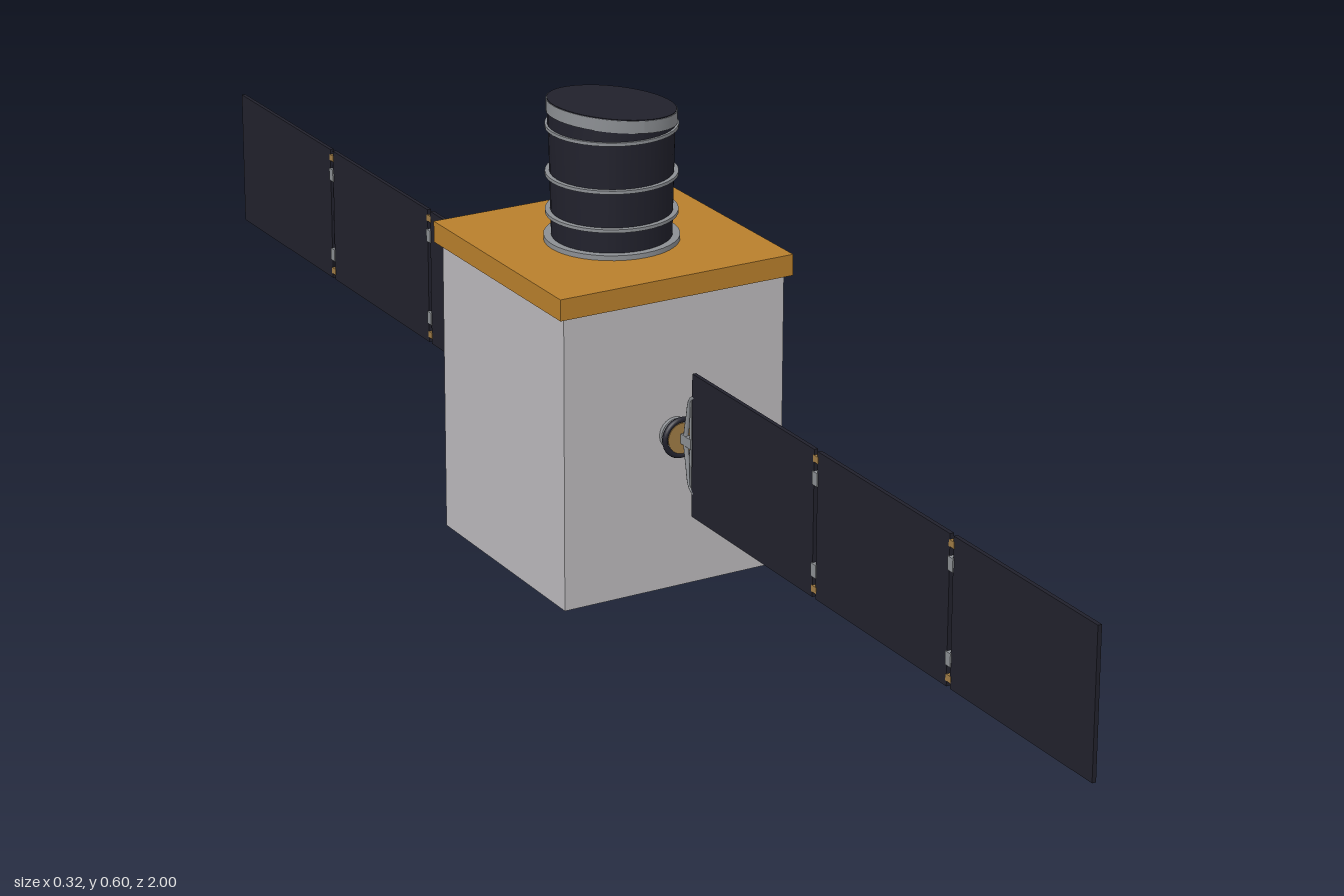
import * as THREE from 'three';

const mat = (name, color, side = THREE.FrontSide) => {
  const m = new THREE.MeshStandardMaterial({ color, side });
  m.name = name;
  return m;
};

export function createModel() {
  const root = new THREE.Group();
  root.name = 'spaceTelescope';
  const white = mat('bodyWhite', 0xbcbabd);
  const gold = mat('foilGold', 0xb87f2c);
  const dark = mat('darkBlue', 0x21212c);
  const metal = mat('metalGrey', 0x8c8f93);
  const beige = mat('antennaBeige', 0xbfb08c);
  const brass = mat('driveBrass', 0xa07c45);
  const light = mat('lightGrey', 0xc9c9cc);
  const black = mat('nozzleBlack', 0x17171b, THREE.DoubleSide);
  const CX = -0.009; // axis of the spacecraft

  const add = (parent, name, geo, material, x = 0, y = 0, z = 0) => {
    const m = new THREE.Mesh(geo, material);
    m.name = name;
    m.position.set(x, y, z);
    parent.add(m);
    return m;
  };
  const box = (w, h, d) => new THREE.BoxGeometry(w, h, d);
  const cyl = (rt, rb, h, open = false) => new THREE.CylinderGeometry(rt, rb, h, 40, 1, open);

  // Main body and foil lid
  add(root, 'body', box(0.292, 0.362, 0.294), white, CX, 0.221, 0);
  add(root, 'lid', box(0.308, 0.026, 0.308), gold, CX, 0.415, 0);

  // Telescope barrel with stiffening rings
  const scope = new THREE.Group();
  scope.name = 'telescope';
  scope.position.x = CX;
  root.add(scope);
  add(scope, 'baseFlange', cyl(0.08, 0.08, 0.006), metal, 0, 0.431, 0);
  add(scope, 'barrel', cyl(0.074, 0.071, 0.138), dark, 0, 0.502, 0);
  for (const y of [0.463, 0.51, 0.568]) add(scope, 'barrelRing', cyl(0.078, 0.078, 0.004), metal, 0, y, 0);

  // Slanted aperture: cylinders sheared so their ends slope down towards +x
  const slanted = (r, yBottom, yTop, slopeBottom, slopeTop) => {
    const g = cyl(r, r, 1);
    const p = g.attributes.position;
    for (let i = 0; i < p.count; i++) {
      const x = p.getX(i);
      p.setY(i, p.getY(i) > 0 ? yTop - slopeTop * x : yBottom - slopeBottom * x);
    }
    g.computeVertexNormals();
    return g;
  };
  add(scope, 'neck', slanted(0.075, 0.566, 0.579, 0, 0.11), dark);
  add(scope, 'apertureBand', slanted(0.0765, 0.578, 0.593, 0.11, 0.11), metal);
  add(scope, 'apertureCover', slanted(0.0755, 0.592, 0.594, 0.11, 0.11), dark);

  // Flat antenna standing off the +x side, with a honeycomb edge
  const antenna = new THREE.Group();
  antenna.name = 'flatAntenna';
  antenna.position.set(0.157, 0.299, 0.002);
  root.add(antenna);
  add(antenna, 'antennaPlate', box(0.008, 0.102, 0.124), beige);
  for (let i = 0; i < 12; i++) {
    for (const s of [-1, 1]) {
      add(antenna, 'edgeCell', box(0.004, 0.003, 0.001), brass, 0, -0.0468 + i * 0.0085, s * 0.0622);
    }
  }

  // Solar wings, mirrored front and back
  const makeWing = () => {
    const wing = new THREE.Group();
    const hub = (name, rt, rb, h, material, z) => {
      add(wing, name, cyl(rt, rb, h), material, 0, 0, z).rotation.x = Math.PI / 2;
    };
    hub('driveFlange', 0.02, 0.02, 0.006, metal, 0.149);
    hub('driveShaft', 0.019, 0.014, 0.016, brass, 0.158);
    const collar = new THREE.TorusGeometry(0.022, 0.0035, 8, 32);
    add(wing, 'driveCollar', collar, dark, 0, 0, 0.163);

    // Bowed yoke that joins the drive to the first panel
    const pts = [[0.06, 0.194], [0.053, 0.184], [0.03, 0.178], [0, 0.173], [-0.03, 0.178], [-0.053, 0.184], [-0.06, 0.194]];
    const curve = new THREE.CatmullRomCurve3(pts.map(([y, z]) => new THREE.Vector3(0, y, z)));
    add(wing, 'yoke', new THREE.TubeGeometry(curve, 28, 0.003, 8), metal);
    add(wing, 'yokeBar', box(0.004, 0.11, 0.004), metal, 0, 0, 0.187);
    add(wing, 'yokeStub', box(0.006, 0.012, 0.024), metal, 0, 0, 0.177);

    for (let i = 0; i < 3; i++) {
      add(wing, 'solarPanel', box(0.005, 0.177, 0.265), dark, 0, 0, 0.3235 + i * 0.272);
      if (i === 0) continue;
      for (const y of [-0.078, -0.055, 0.055, 0.078]) {
        const big = Math.abs(y) < 0.06;
        add(wing, 'hinge', box(big ? 0.008 : 0.006, big ? 0.016 : 0.008, 0.01), big ? metal : brass, 0, y, 0.1875 + i * 0.272);
      }
    }
    return wing;
  };
  for (const side of [0, 1]) {
    const wing = makeWing();
    wing.name = side ? 'backWing' : 'frontWing';
    wing.position.set(CX, 0.2335, 0);
    wing.rotation.y = side * Math.PI;
    root.add(wing);
  }

  // Round base with dark underside
  add(root, 'baseRing', cyl(0.106, 0.106, 0.016), metal, CX, 0.032, 0);
  add(root, 'baseUnderside', cyl(0.1, 0.1, 0.002), dark, CX, 0.0237, 0);

  // Thrusters: one straight, two splayed outwards
  const thruster = (x, z, tiltX, tiltZ) => {
    const t = new THREE.Group();
    t.name = 'thruster';
    t.position.set(x, 0.025, z);
    t.rotation.set(tiltX, 0, tiltZ);
    root.add(t);
    add(t, 'thrusterMount', cyl(0.01, 0.01, 0.011), metal, 0, -0.004, 0);
    add(t, 'thrusterCollar', cyl(0.0105, 0.0105, 0.003), black, 0, -0.011, 0);
    add(t, 'nozzle', cyl(0.0075, 0.0085, 0.013, true), light, 0, -0.018, 0);
    add(t, 'nozzleThroat', cyl(0.0074, 0.0083, 0.012, true), black, 0, -0.0182, 0);
  };
  thruster(-0.06, 0, 0, 0);
  thruster(0.042, 0.052, -0.55, 0.65);
  thruster(0.042, -0.052, 0.55, 0.65);

  return root;
}
